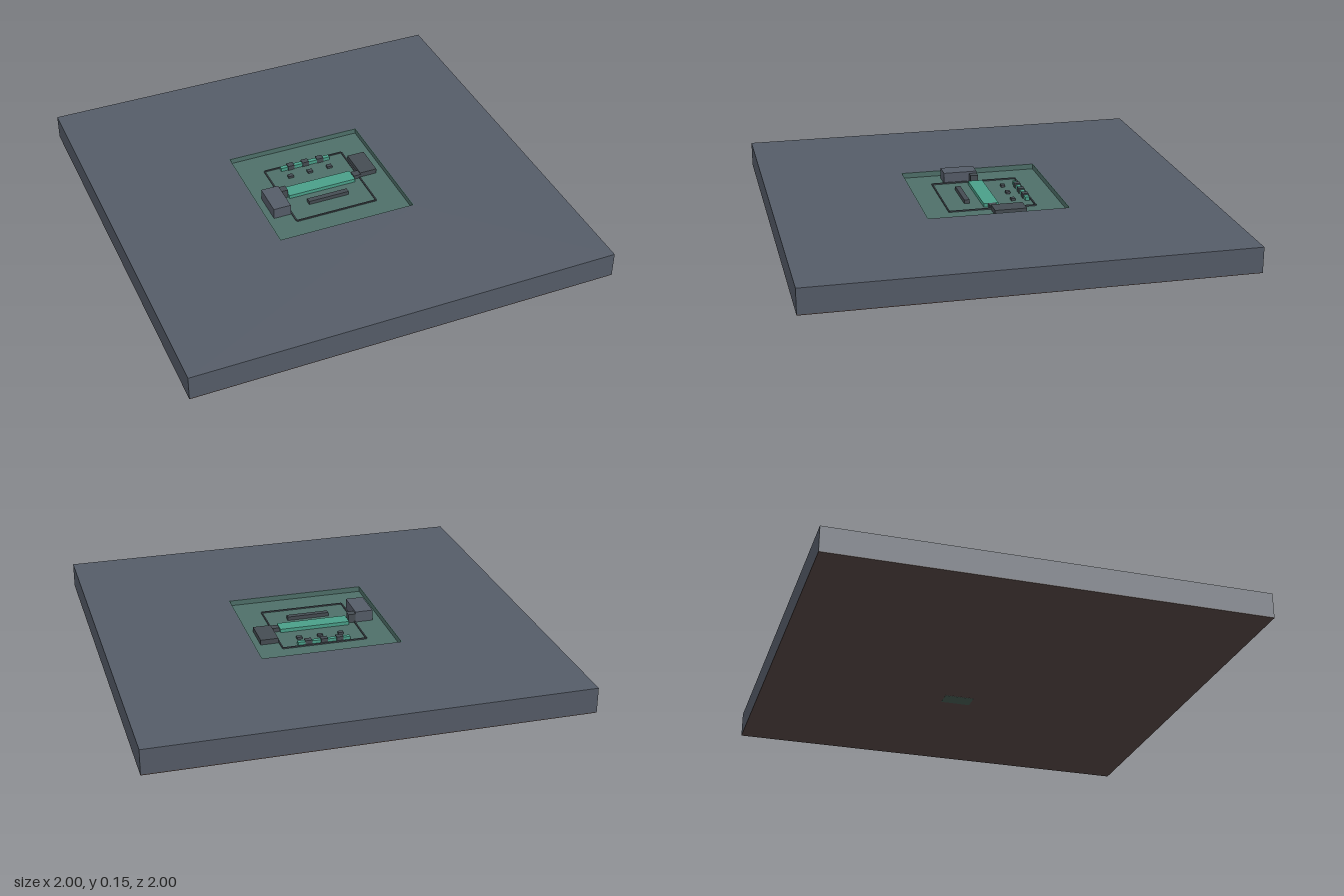
import * as THREE from 'three';

const mat = (name, color) => {
  const m = new THREE.MeshStandardMaterial({ color });
  m.name = name;
  return m;
};

export function createModel() {
  const root = new THREE.Group();
  root.name = 'groundsWithSunkenCourt';
  const grey = mat('slate grey', 0x555c68);
  const green = mat('muted green', 0x4e6f69);
  const teal = mat('bright teal', 0x4a9f89);
  const dark = mat('dark grey', 0x454c52);
  const brown = mat('dark brown', 0x524341);
  const deepGreen = mat('deep green', 0x43574f);

  const TOP = 0.12, FLOOR = 0.095, HALF = 0.333;

  // Box given by its centre on the ground plan, footprint and bottom/top heights
  const box = (name, material, x, z, w, d, y0, y1, parent = root) => {
    const mesh = new THREE.Mesh(new THREE.BoxGeometry(w, y1 - y0, d), material);
    mesh.position.set(x, (y0 + y1) / 2, z);
    mesh.name = name;
    parent.add(mesh);
    return mesh;
  };

  // Square slab with an opening for the court
  const square = (Type, h) => new Type([[-h, -h], [h, -h], [h, h], [-h, h]].map(([x, y]) => new THREE.Vector2(x, y)));
  const outline = square(THREE.Shape, 1);
  outline.holes.push(square(THREE.Path, HALF));
  const slabGeometry = new THREE.ExtrudeGeometry(outline, { depth: TOP - 0.004, bevelEnabled: false });
  slabGeometry.rotateX(-Math.PI / 2).translate(0, 0.004, 0);
  const slab = new THREE.Mesh(slabGeometry, grey);
  slab.name = 'groundSlab';
  root.add(slab);
  box('underside', brown, 0, 0, 2, 2, 0.001, 0.005);

  // Court floor and lining of the opening
  box('courtFloor', green, 0, 0, HALF * 2, HALF * 2, 0.006, FLOOR);
  for (const s of [-1, 1]) {
    box('courtLining', green, s * (HALF - 0.002), 0, 0.004, HALF * 2, FLOOR, TOP);
    box('courtLining', green, 0, s * (HALF - 0.002), HALF * 2, 0.004, FLOOR, TOP);
  }

  // Thin square kerb
  const kerb = new THREE.Group();
  kerb.name = 'kerb';
  for (const s of [-1, 1]) {
    box('kerbSide', dark, s * 0.2, 0, 0.006, 0.406, FLOOR, FLOOR + 0.006, kerb);
    box('kerbEnd', dark, 0, s * 0.205, 0.4, 0.006, FLOOR, FLOOR + 0.006, kerb);
  }
  root.add(kerb);

  // Bright central table and the low bench before it
  box('centralTable', teal, 0, 0, 0.335, 0.07, FLOOR, 0.112);
  box('lowBench', dark, 0, 0.1, 0.2, 0.025, FLOOR, 0.113);

  // Back row: bright strip with dark blocks set along it
  box('backStrip', teal, 0, -0.185, 0.25, 0.02, FLOOR, 0.112);
  for (const x of [-0.075, 0, 0.075]) {
    box('backBlock', dark, x, -0.185, 0.032, 0.028, FLOOR, 0.118);
    box('stool', dark, x * 1.33, -0.12, 0.025, 0.02, FLOOR, 0.106);
  }

  // Tall cabinet on one side with its step
  box('tallCabinet', grey, -0.247, 0.065, 0.084, 0.16, FLOOR, 0.147);
  box('cabinetStep', dark, -0.188, 0.003, 0.036, 0.036, FLOOR, 0.137);

  // Low cabinet on the other side, with its base let into the underside
  box('lowCabinet', dark, 0.247, -0.065, 0.084, 0.15, FLOOR, 0.119);
  box('cabinetStep', dark, 0.188, -0.003, 0.036, 0.036, FLOOR, 0.114);
  box('cabinetBase', deepGreen, 0.247, -0.068, 0.08, 0.14, 0, 0.004);

  return root;
}
